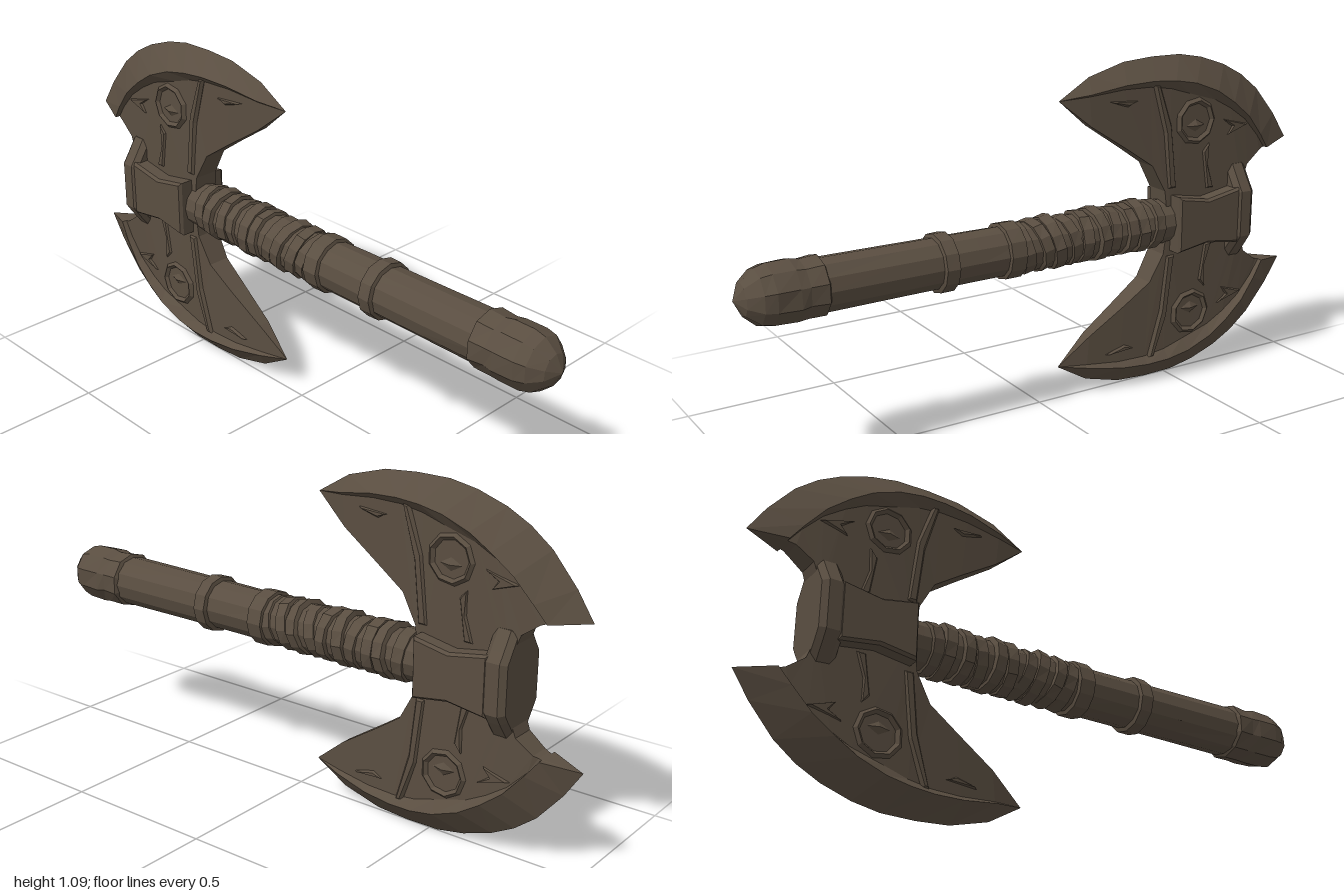
import * as THREE from 'three';

const AXIS_Y = 0.543; // handle height
const MID_Y = 0.5475; // mirror line of the two blades

export function createModel() {
  const model = new THREE.Group();
  model.name = 'doubleAxe';
  const iron = new THREE.MeshStandardMaterial({ color: 0x5a4e41, flatShading: true });
  iron.name = 'dark weathered bronze';

  const add = (geometry, name, parent = model) => {
    const mesh = new THREE.Mesh(geometry, iron);
    mesh.name = name;
    parent.add(mesh);
    return mesh;
  };

  // Small repeatable dents, equal for vertices sharing a position
  const roughen = (geometry, amount) => {
    const p = geometry.attributes.position;
    for (let i = 0; i < p.count; i++) {
      const x = p.getX(i), y = p.getY(i), z = p.getZ(i);
      const n = Math.sin(Math.round(x * 500) * 12.99 + Math.round(y * 500) * 78.23 + Math.round(z * 500) * 37.7) * 43.7;
      const k = 1 + (n - Math.floor(n) - 0.5) * amount;
      p.setXYZ(i, x * k, y * k, z);
    }
    return geometry;
  };

  // Turned piece along z from [z, radius] pairs with rising z
  const turned = (profile, name, rough = 0.04, sides = 12) => {
    const g = new THREE.LatheGeometry(profile.map(([z, r]) => new THREE.Vector2(r, z)), sides);
    g.rotateX(Math.PI / 2);
    const mesh = add(roughen(g, rough), name);
    mesh.position.y = AXIS_Y;
    return mesh;
  };
  const band = (z0, z1, r, name, rough) =>
    turned([[z0, r - 0.02], [z0 + 0.006, r], [z1 - 0.006, r], [z1, r - 0.02]], name, rough);

  // Handle, pommel and rings
  turned([[-0.74, 0], [-0.74, 0.075], [-0.45, 0.075], [-0.2, 0.077], [0.1, 0.078], [0.25, 0.08],
    [0.5, 0.081], [0.76, 0.082]], 'handle');
  turned([[0.735, 0.075], [0.745, 0.093], [0.80, 0.09], [0.83, 0.095], [0.90, 0.094], [0.935, 0.085],
    [0.975, 0.05], [1.0, 0]], 'pommel', 0.05, 10);
  band(0.325, 0.38, 0.093, 'handleRing', 0.02);
  band(0.09, 0.155, 0.09, 'handleRing', 0.02);

  // Uneven leather wraps
  for (let i = 0; i < 10; i++) {
    const z = 0.075 - i * 0.054;
    const wrap = band(-0.024, 0.024, 0.083 + (i % 3) * 0.003, 'gripWrap', 0.06);
    wrap.position.z = z;
    wrap.rotation.x = i < 4 ? 0.22 : ((i % 3) - 1) * 0.08;
    wrap.rotation.y = ((i % 2) - 0.5) * 0.16;
  }

  // Side outline in (z, y), thickened across x
  const sidePlate = (points, width) => {
    const shape = new THREE.Shape(points.map(([z, y]) => new THREE.Vector2(z, y)));
    const g = new THREE.ExtrudeGeometry(shape, {
      depth: width - 0.02, bevelThickness: 0.01, bevelSize: 0.008, bevelOffset: -0.008, bevelSegments: 1,
    });
    g.translate(0, 0, 0.01 - width / 2);
    return g.rotateY(-Math.PI / 2);
  };

  // Socket that holds the head
  add(sidePlate([[-0.48, 0.64], [-0.6, 0.618], [-0.73, 0.64], [-0.73, 0.45], [-0.6, 0.468], [-0.48, 0.45]], 0.19), 'socket');

  // Back bar between the two blades
  const half = [[0.04, 0.385], [0.08, 0.44], [0.1, 0.47], [0.1, 0.625], [0.08, 0.655], [0.045, 0.71]];
  const barShape = new THREE.Shape([...half, ...half.map(([x, y]) => [-x, y]).reverse()]
    .map(([x, y]) => new THREE.Vector2(x, y)));
  const bar = new THREE.ExtrudeGeometry(barShape, {
    depth: 0.04, bevelThickness: 0.018, bevelSize: 0.015, bevelOffset: -0.015, bevelSegments: 1,
  });
  bar.translate(0, 0, -0.772);
  add(bar, 'backBar');

  // Blade stations: edge z, y; bevel ridge z, y; inner outline z, y; ridge half width
  const stations = [
    [-0.07, 0.985, -0.07, 0.985, -0.07, 0.985, 0],
    [-0.18, 1.05, -0.17, 1.0, -0.18, 0.895, 0.032],
    [-0.31, 1.085, -0.29, 1.02, -0.31, 0.81, 0.05],
    [-0.42, 1.092, -0.39, 1.025, -0.405, 0.745, 0.06],
    [-0.53, 1.09, -0.47, 1.02, -0.455, 0.655, 0.067],
    [-0.62, 1.073, -0.55, 1.005, -0.47, 0.54, 0.07],
    [-0.715, 1.04, -0.64, 0.97, -0.775, 0.54, 0.071],
    [-0.79, 1.0, -0.71, 0.925, -0.775, 0.63, 0.07],
    [-0.86, 0.945, -0.78, 0.87, -0.80, 0.70, 0.064],
    [-0.94, 0.85, -0.84, 0.80, -0.855, 0.74, 0.055],
    [-0.995, 0.765, -0.88, 0.748, -0.87, 0.745, 0.045],
  ];
  const bladeGeometry = (flip) => {
    const pos = [], index = [];
    const tri = (a, b, c) => index.push(...(flip ? [a, c, b] : [a, b, c]));
    for (const [oz, oy, bz, by, iz, iy, w] of stations) {
      const pz = bz + (iz - bz) * 0.08, py = by + (iy - by) * 0.08;
      const t = w * 0.62;
      const ring = [[0, oy, oz], [w, by, bz], [t, py, pz], [t, iy, iz], [-t, iy, iz], [-t, py, pz], [-w, by, bz]];
      for (const [x, y, z] of ring) pos.push(x, flip ? 2 * MID_Y - y : y, z);
    }
    const n = 7, last = (stations.length - 1) * n;
    for (let s = 0; s < last; s += n) {
      for (let k = 0; k < n; k++) {
        const k2 = (k + 1) % n;
        tri(s + k, s + k2, s + n + k2);
        tri(s + k, s + n + k2, s + n + k);
      }
    }
    for (let k = 1; k < n - 1; k++) tri(last, last + k, last + k + 1);
    const g = new THREE.BufferGeometry();
    g.setAttribute('position', new THREE.Float32BufferAttribute(pos, 3));
    g.setIndex(index);
    g.computeVertexNormals();
    return g;
  };

  // Raised ornaments, drawn on the upper blade and mirrored onto the lower
  const ribs = [
    [[-0.40, 1.01], [-0.425, 1.01], [-0.475, 0.87], [-0.50, 0.66], [-0.465, 0.66], [-0.445, 0.85]],
    [[-0.60, 0.77], [-0.63, 0.80], [-0.63, 0.72], [-0.655, 0.64], [-0.62, 0.64]],
    [[-0.68, 0.87], [-0.79, 0.84], [-0.70, 0.81], [-0.72, 0.84]],
    [[-0.24, 0.97], [-0.35, 0.965], [-0.31, 0.945]],
  ];
  for (const flip of [false, true]) {
    const head = new THREE.Group();
    head.name = flip ? 'lowerBlade' : 'upperBlade';
    model.add(head);
    add(bladeGeometry(flip), 'blade', head);
    const my = (y) => (flip ? 2 * MID_Y - y : y);
    ribs.forEach((points, i) => {
      const width = i === 3 ? 0.078 : 0.1;
      add(sidePlate(points.map(([z, y]) => [z, my(y)]), width), 'engravedRib', head);
    });
    for (const side of [-1, 1]) {
      const ring = add(new THREE.TorusGeometry(0.068, 0.012, 4, 9), 'engravedRing', head);
      ring.rotation.y = Math.PI / 2;
      ring.position.set(side * 0.042, my(0.875), -0.57);
      const boss = add(new THREE.OctahedronGeometry(0.035), 'engravedBoss', head);
      boss.scale.set(0.35, 0.6, 1.1);
      boss.position.set(side * 0.043, my(0.86), -0.57);
    }
  }
  return model;
}
